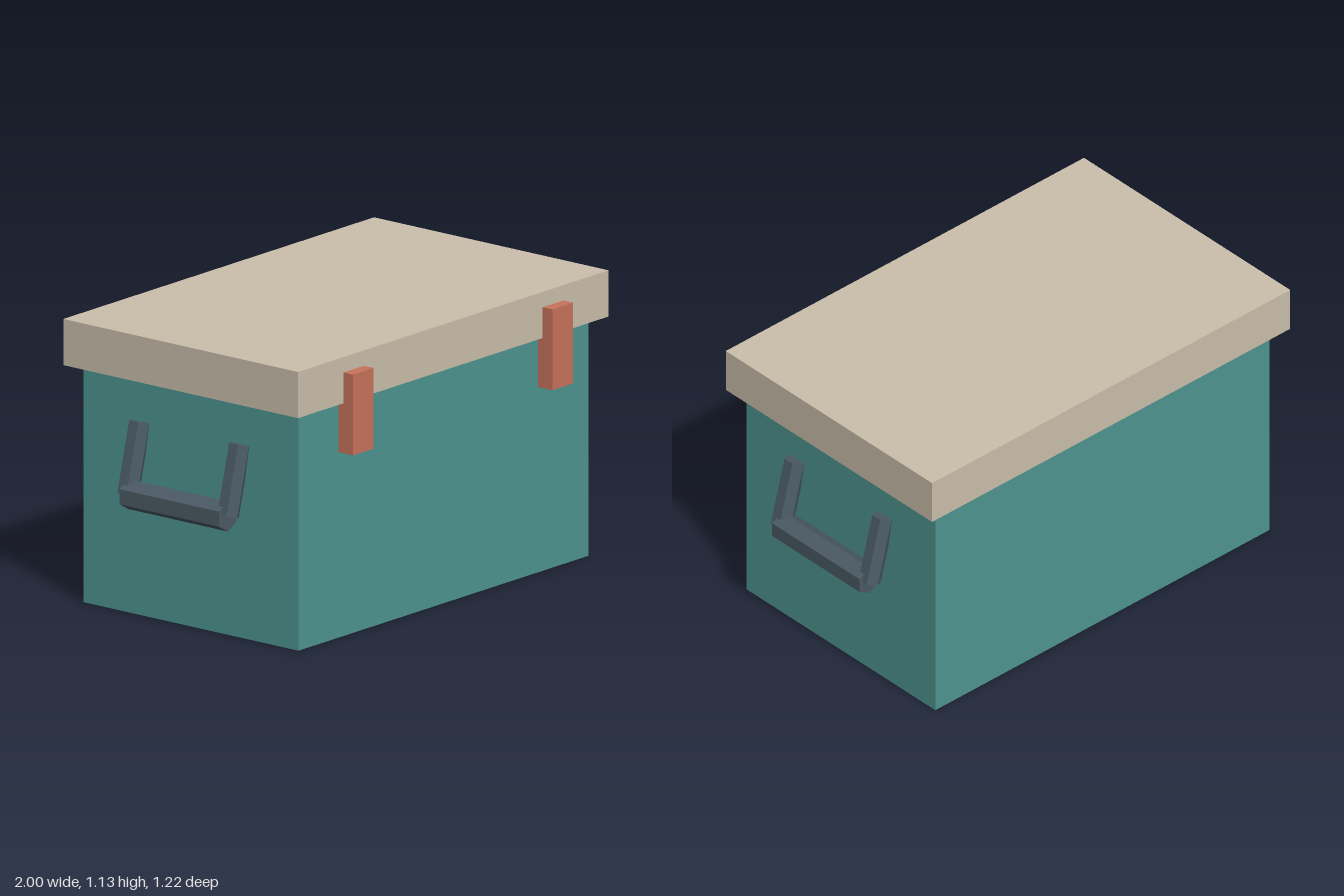
import * as THREE from 'three';

export function createModel() {
  const model = new THREE.Group();
  model.name = 'coolBox';

  const material = (name, color) => {
    const m = new THREE.MeshStandardMaterial({ color, flatShading: true });
    m.name = name;
    return m;
  };
  const teal = material('teal', 0x4e9590);
  const sand = material('sand', 0xcabfaa);
  const coral = material('coral', 0xc8735c);
  const slate = material('slate', 0x4a5a64);

  const add = (parent, name, geometry, mat, x, y, z) => {
    const mesh = new THREE.Mesh(geometry, mat);
    mesh.name = name;
    mesh.position.set(x, y, z);
    parent.add(mesh);
    return mesh;
  };

  const midZ = -0.023;

  // Body and overhanging lid
  add(model, 'body', new THREE.BoxGeometry(1.74, 0.95, 1.072), teal, 0, 0.475, midZ);
  add(model, 'lid', new THREE.BoxGeometry(1.864, 0.184, 1.17), sand, 0, 1.041, midZ);

  // Mirrored latches and carrying handles
  const latch = new THREE.BoxGeometry(0.124, 0.322, 0.072);
  const arm = new THREE.CylinderGeometry(0.045, 0.045, 0.282, 6);
  const grip = new THREE.CylinderGeometry(0.06, 0.06, 0.496, 6).rotateX(Math.PI / 2);
  for (const [side, s] of [['left', 1], ['right', -1]]) {
    add(model, side + 'Latch', latch, coral, s * 0.598, 0.911, 0.574);

    const handle = new THREE.Group();
    handle.name = side + 'Handle';
    model.add(handle);
    add(handle, 'grip', grip, slate, s * 0.948, 0.5, midZ);
    for (const [end, e] of [['front', 1], ['back', -1]]) {
      add(handle, end + 'Arm', arm, slate, s * 0.912, 0.636, midZ + e * 0.249)
        .rotation.z = s * 0.255;
    }
  }
  return model;
}
